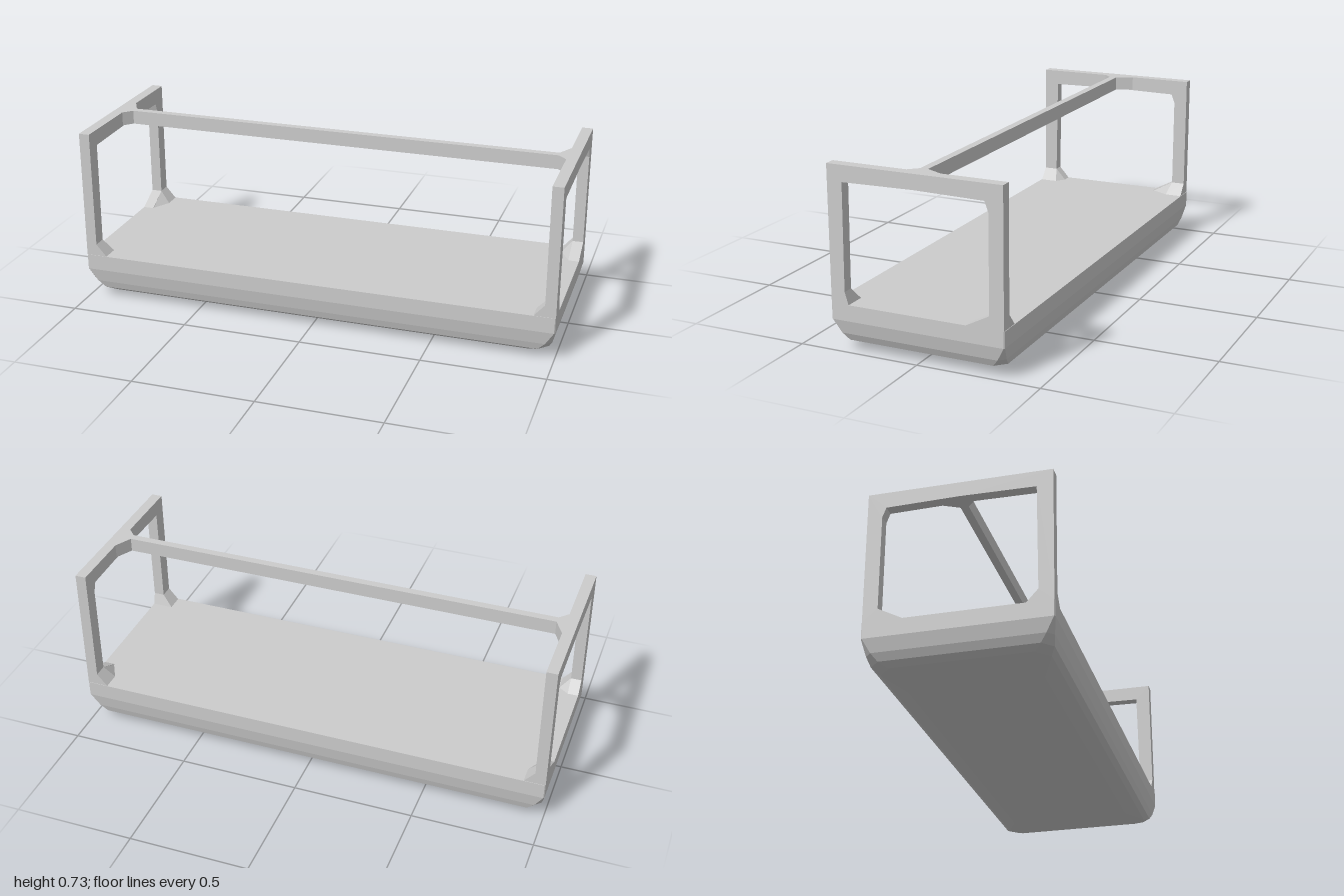
import * as THREE from 'three';
import { ConvexGeometry } from 'three/addons/geometries/ConvexGeometry.js';

const material = new THREE.MeshStandardMaterial({ color: 0xcccccc, flatShading: true });
const X = 1, Z = 0.358, DECK = 0.19, TOP = 0.73, INNER_X = 0.955, INNER_Z = 0.3;

function part(name, geometry) {
  const mesh = new THREE.Mesh(geometry, material);
  mesh.name = name;
  return mesh;
}

function extrude(points, depth) {
  const shape = new THREE.Shape(points.map(([x, y]) => new THREE.Vector2(x, y)));
  return new THREE.ExtrudeGeometry(shape, { depth, bevelEnabled: false });
}

// Shallow tub: stacked rectangles with cut corners, tucked in towards the bottom
function hullGeometry() {
  const levels = [ // y, half length, half width, corner cut
    [DECK, X, 0.36, 0.003],
    [0.125, X, 0.36, 0.004],
    [0.07, 0.987, 0.35, 0.025],
    [0.04, 0.972, 0.341, 0.04],
    [0.025, 0.94, 0.32, 0.05],
    [0.012, 0.8, 0.26, 0.05],
    [0.004, 0.5, 0.18, 0.03],
    [0, 0.2, 0.13, 0.02],
  ];
  const points = [];
  for (const [y, a, b, c] of levels) {
    for (const sx of [-1, 1]) for (const sz of [-1, 1]) {
      points.push(new THREE.Vector3(sx * (a - c), y, sz * b), new THREE.Vector3(sx * a, y, sz * (b - c)));
    }
  }
  return new ConvexGeometry(points);
}

// Arch at one end, drawn in (z, y), with splayed feet
function endFrameGeometry(side, frontFoot) {
  const geometry = extrude([
    [-Z, DECK], [-0.205, DECK], [-INNER_Z, 0.24], [-INNER_Z, 0.625], [-0.285, 0.665],
    [0, 0.67], [0.295, 0.665], [INNER_Z, 0.24], [frontFoot, DECK], [Z, DECK], [Z, TOP], [-Z, TOP],
  ], X - INNER_X);
  geometry.rotateY(-Math.PI / 2);
  geometry.translate(side > 0 ? X : -INNER_X, 0, 0);
  return geometry;
}

// Wedge bracing the inside of a post at the deck
function gussetGeometry(side, end, foot) {
  return new ConvexGeometry([
    [INNER_X, 0.24, INNER_Z], [INNER_X, 0.24, Z], [INNER_X, DECK, Z],
    [0.912, DECK, Z], [0.912, DECK, 0.285], [INNER_X, DECK, foot],
  ].map(([x, y, z]) => new THREE.Vector3(side * x, y, end * z)));
}

// Long top beam, flared in plan where it meets the end rails
function beamGeometry() {
  const geometry = extrude([
    [-INNER_X, -0.048], [-0.92, -0.012], [0.92, -0.012], [INNER_X, -0.048],
    [INNER_X, 0.09], [0.918, 0.02], [-0.918, 0.02], [-INNER_X, 0.09],
  ], TOP - 0.672);
  geometry.rotateX(-Math.PI / 2);
  geometry.translate(0, 0.672, 0);
  return geometry;
}

export function createModel() {
  const model = new THREE.Group();
  model.name = 'framedTray';
  model.add(part('hull', hullGeometry()), part('topBeam', beamGeometry()));

  for (const side of [-1, 1]) {
    const label = side > 0 ? 'left' : 'right';
    const frontFoot = side > 0 ? 0.285 : 0.255;
    model.add(
      part(label + 'EndFrame', endFrameGeometry(side, frontFoot)),
      part(label + 'FrontGusset', gussetGeometry(side, 1, frontFoot)),
      part(label + 'BackGusset', gussetGeometry(side, -1, 0.21)),
    );
  }
  return model;
}
